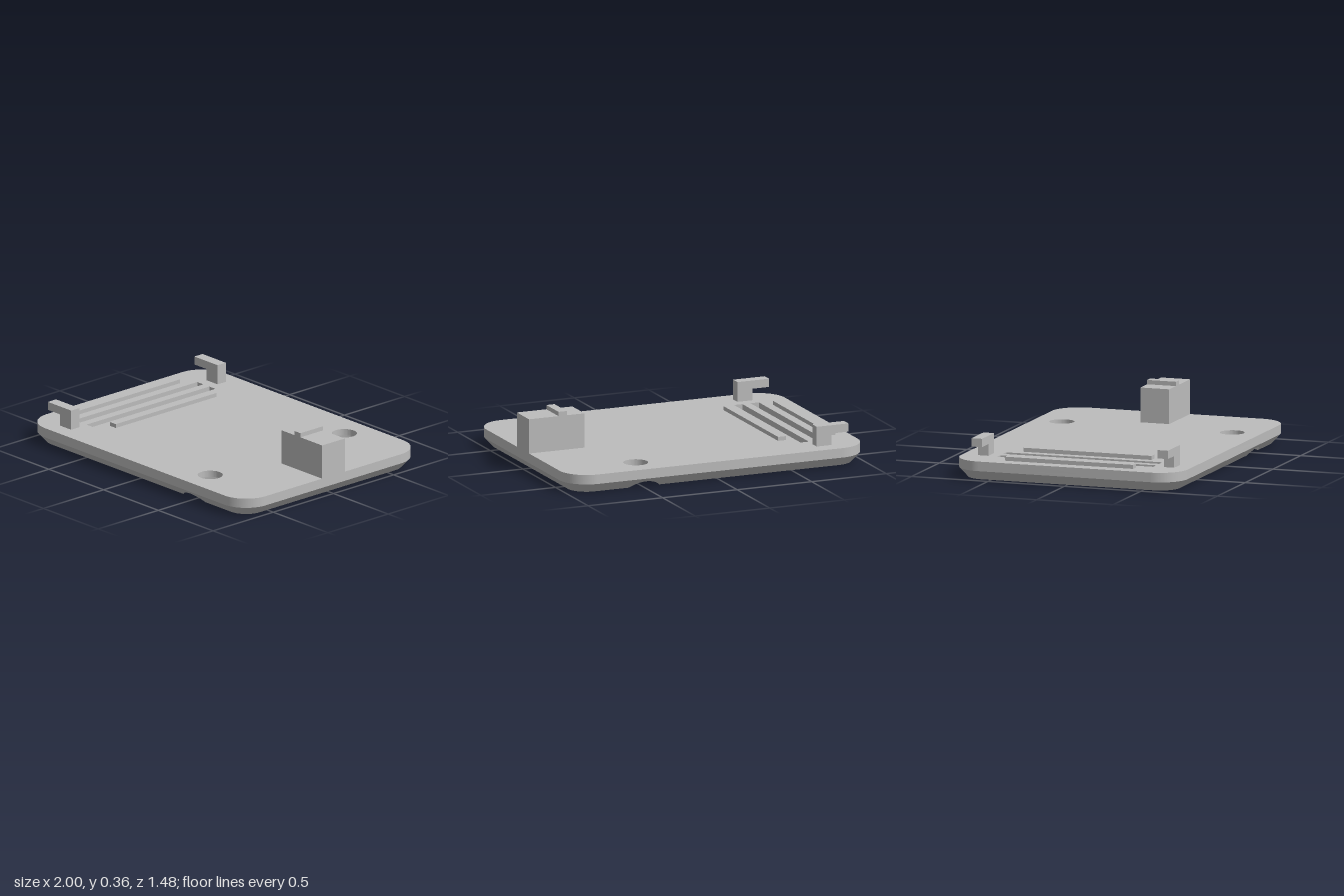
import * as THREE from 'three';
import { toCreasedNormals } from 'three/addons/utils/BufferGeometryUtils.js';

// Plate dimensions
const HX = 1, HZ = 0.742, CORNER = 0.18;
const INSET = 0.055, CHAMFER_Y = 0.06, BORE_Y = 0.08, TOP_Y = 0.12;
const CX = HX - CORNER, CZ = HZ - CORNER, ZB = HZ - INSET;
// Screw holes with counterbores that bite through the chamfer
const HOLE_X = 0.487, HOLE_Z = 0.557, HOLE_R = 0.077, BORE_R = 0.165;
const BITE = Math.asin((ZB - HOLE_Z) / BORE_R);
const PI = Math.PI;

function roundedOutline(r) {
  const s = new THREE.Shape();
  s.absarc(CX, -CZ, r, -PI / 2, 0);
  s.absarc(CX, CZ, r, 0, PI / 2);
  s.absarc(-CX, CZ, r, PI / 2, PI);
  s.absarc(-CX, -CZ, r, PI, 1.5 * PI);
  s.closePath();
  return s;
}

function circleHole(x, y, r) {
  const p = new THREE.Path();
  p.absarc(x, y, r, 0, 2 * PI, true);
  return p;
}

function slotHole(x, halfWidth, halfLength) {
  return new THREE.Path([
    [-1, -1], [-1, 1], [1, 1], [1, -1],
  ].map(([a, b]) => new THREE.Vector2(x + a * halfWidth, b * halfLength)));
}

// Flat slab with holes, lying between two heights
function slab(shape, y0, y1) {
  const g = new THREE.ExtrudeGeometry(shape, { depth: y1 - y0, bevelEnabled: false, curveSegments: 32 });
  g.rotateX(-PI / 2).translate(0, y0, 0);
  return toCreasedNormals(g, 0.5);
}

// Wall joining a lower and an upper row of points
function strip(bottom, top) {
  const n = bottom.length, index = [];
  for (let i = 0; i < n - 1; i++) index.push(i, n + i, i + 1, i + 1, n + i, n + i + 1);
  const g = new THREE.BufferGeometry().setFromPoints([...bottom, ...top]);
  g.setIndex(index);
  g.computeVertexNormals();
  return g;
}

// Chamfer of one short side with its two rounded corners
function chamferEnd() {
  const row = (r, y) => {
    const pts = [];
    for (const sz of [-1, 1]) {
      for (let i = 0; i <= 16; i++) {
        const a = (sz < 0 ? -PI / 2 : 0) + (i / 16) * PI / 2;
        pts.push(new THREE.Vector3(CX + r * Math.cos(a), y, sz * CZ + r * Math.sin(a)));
      }
    }
    return pts;
  };
  return strip(row(CORNER - INSET, 0), row(CORNER, CHAMFER_Y));
}

// Chamfer of one long side, notched where the counterbore breaks through
function chamferSide(holeX) {
  const slope = CHAMFER_Y / INSET;
  const pts = [new THREE.Vector2(-CX, 0)];
  for (let i = 0; i <= 24; i++) {
    const a = PI - BITE - (i / 24) * (PI - 2 * BITE);
    const y = (HOLE_Z + BORE_R * Math.sin(a) - ZB) * slope;
    pts.push(new THREE.Vector2(holeX + BORE_R * Math.cos(a), Math.max(0, y)));
  }
  pts.push(new THREE.Vector2(CX, 0), new THREE.Vector2(CX, CHAMFER_Y), new THREE.Vector2(-CX, CHAMFER_Y));
  const g = new THREE.ShapeGeometry(new THREE.Shape(pts));
  const p = g.attributes.position;
  for (let i = 0; i < p.count; i++) p.setZ(i, ZB + p.getY(i) / slope);
  g.computeVertexNormals();
  return g;
}

// Underside with the two counterbores cut in from the long edges
function undersideGeometry() {
  const r = CORNER - INSET, s = new THREE.Shape();
  s.absarc(CX, -CZ, r, -PI / 2, 0);
  s.absarc(CX, CZ, r, 0, PI / 2);
  s.absarc(HOLE_X, HOLE_Z, BORE_R, BITE, PI - BITE, true);
  s.absarc(-CX, CZ, r, PI / 2, PI);
  s.absarc(-CX, -CZ, r, PI, 1.5 * PI);
  s.absarc(HOLE_X, -HOLE_Z, BORE_R, PI + BITE, -BITE, true);
  s.closePath();
  return new THREE.ShapeGeometry(s, 32).rotateX(PI / 2);
}

// Lower counterbore wall, following the chamfer where it is cut away
function boreWall(side) {
  const bottom = [], top = [];
  for (let i = 0; i <= 96; i++) {
    const a = -(i / 96) * 2 * PI;
    const x = HOLE_X + BORE_R * Math.cos(a), dz = BORE_R * Math.sin(a);
    const z = side * HOLE_Z + dz;
    const y = Math.max(0, (side * z - ZB) * CHAMFER_Y / INSET);
    bottom.push(new THREE.Vector3(x, y, z));
    top.push(new THREE.Vector3(x, CHAMFER_Y, z));
  }
  return strip(bottom, top);
}

export function createModel() {
  const model = new THREE.Group();
  model.name = 'mountingPlate';
  const grey = new THREE.MeshStandardMaterial({ color: 0xbcbcbc });
  grey.name = 'grey plastic';

  const add = (name, geometry) => {
    const m = new THREE.Mesh(geometry, grey);
    m.name = name;
    model.add(m);
    return m;
  };
  const box = (name, x0, x1, y0, y1, z0, z1) =>
    add(name, new THREE.BoxGeometry(x1 - x0, y1 - y0, z1 - z0))
      .position.set((x0 + x1) / 2, (y0 + y1) / 2, (z0 + z1) / 2);

  // Plate: upper layer with screw holes and blind slots, lower layer with counterbores
  const upper = roundedOutline(CORNER), lower = roundedOutline(CORNER);
  for (const s of [-1, 1]) {
    upper.holes.push(circleHole(HOLE_X, s * HOLE_Z, HOLE_R));
    lower.holes.push(circleHole(HOLE_X, s * HOLE_Z, BORE_R));
  }
  for (const x of [-0.777, -0.667]) upper.holes.push(slotHole(x, 0.028, 0.51));
  add('plateTop', slab(upper, BORE_Y, TOP_Y));
  add('plateMiddle', slab(lower, CHAMFER_Y, BORE_Y));
  add('underside', undersideGeometry());
  add('chamferLeft', chamferEnd());
  add('chamferRight', chamferEnd().rotateY(PI));
  add('chamferFront', chamferSide(HOLE_X));
  add('chamferBack', chamferSide(-HOLE_X).rotateY(PI));
  for (const s of [-1, 1]) add('counterbore', boreWall(s));

  // Raised ribs beside the slots
  for (const x of [-0.888, -0.556]) box('rib', x - 0.027, x + 0.027, TOP_Y, 0.145, -0.418, 0.418);

  // Hooked clips: stem and overhanging arm as one profile
  const hook = new THREE.Shape([
    [-0.79, TOP_Y], [-0.69, TOP_Y], [-0.69, 0.245], [-0.903, 0.245], [-0.903, 0.193], [-0.79, 0.193],
  ].map(([x, y]) => new THREE.Vector2(x, y)));
  for (const s of [-1, 1]) {
    const g = new THREE.ExtrudeGeometry(hook, { depth: 0.068, bevelEnabled: false });
    add('clip', g.translate(0, 0, s * 0.608 - 0.034));
  }

  // Latch block with a ridge across its top
  box('latchBlock', 0.627, 1, TOP_Y, 0.337, -0.094, 0.094);
  box('latchRidge', 0.747, 0.802, 0.337, 0.364, -0.094, 0.094);

  return model;
}
